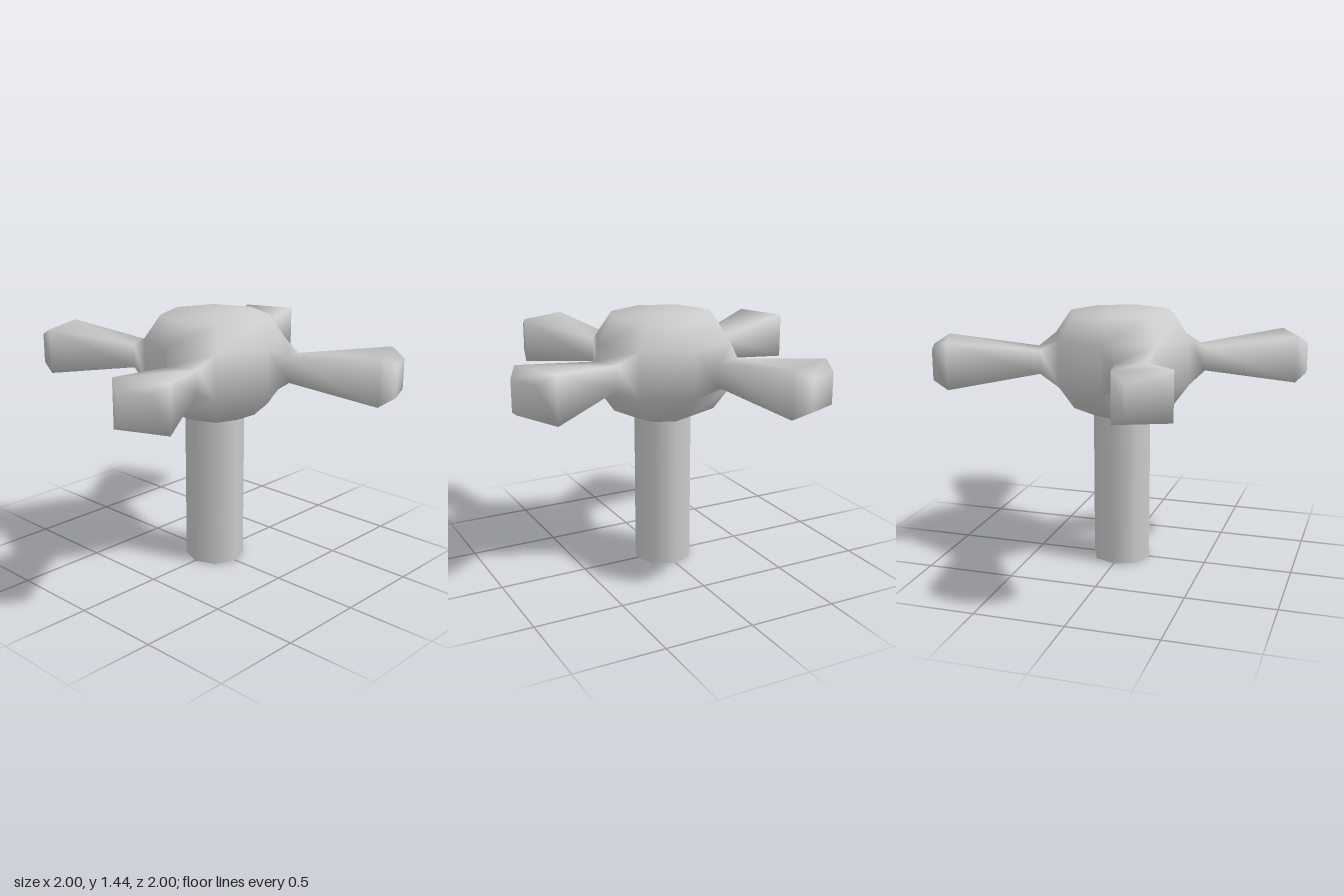
import * as THREE from 'three';

const SIDES = 8;
const STEM_RADIUS = 0.168;
const STEM_TOP = 0.865;
const ARM_Y = 1.18;

// Hub rings from bottom to top: [radius, y]
const HUB = [[STEM_RADIUS, STEM_TOP], [0.3, 0.925], [0.39, 1.05], [0.39, 1.31], [0.3, 1.44]];
const ARM_BAND = 2; // the band of hub faces the arms grow from

// Arm sections from neck to tip: [distance from axis, half width, half height]
const ARM = [[0.461, 0.08, 0.065], [0.962, 0.15, 0.13], [1.043, 0.09, 0.085]];

export function createModel() {
  const group = new THREE.Group();
  const material = new THREE.MeshStandardMaterial({ color: 0xcccccc });

  const positions = [];
  const parts = { hub: [] };
  const vertex = (x, y, z) => positions.push(x, y, z) / 3 - 1;
  const quad = (list, a, b, c, d) => list.push(a, b, c, a, c, d);

  // Hub rings
  const rings = HUB.map(([r, y]) => Array.from({ length: SIDES }, (_, i) => {
    const a = (i / SIDES) * Math.PI * 2;
    return vertex(r * Math.sin(a), y, r * Math.cos(a));
  }));
  const topCentre = vertex(0, HUB.at(-1)[1], 0);

  for (let i = 0; i < SIDES; i++) {
    const j = (i + 1) % SIDES;
    for (let k = 0; k < HUB.length - 1; k++) {
      const face = [rings[k][i], rings[k][j], rings[k + 1][j], rings[k + 1][i]];
      if (k === ARM_BAND && i % 2 === 0) addArm(i, face);
      else quad(parts.hub, ...face);
    }
    parts.hub.push(topCentre, rings.at(-1)[i], rings.at(-1)[j]);
  }

  // Arm pulled out of one hub face: flared root, narrow neck, bevelled square end
  function addArm(i, face) {
    const list = (parts['arm' + (i / 2 + 1)] = []);
    const a = ((i + 0.5) / SIDES) * Math.PI * 2;
    const s = Math.sin(a), c = Math.cos(a);
    let previous = face;
    for (const [u, w, h] of ARM) {
      const section = [[-w, -h], [w, -h], [w, h], [-w, h]].map(([v, y]) =>
        vertex(u * s + v * c, ARM_Y + y, u * c - v * s));
      for (let k = 0; k < 4; k++) {
        const n = (k + 1) % 4;
        quad(list, previous[k], previous[n], section[n], section[k]);
      }
      previous = section;
    }
    quad(list, ...previous);
  }

  // Smooth normals run across hub and arms, then the parts are split
  const whole = new THREE.BufferGeometry();
  whole.setAttribute('position', new THREE.Float32BufferAttribute(positions, 3));
  whole.setIndex(Object.values(parts).flat());
  whole.computeVertexNormals();
  for (const [name, index] of Object.entries(parts)) {
    whole.setIndex(index);
    const mesh = new THREE.Mesh(whole.toNonIndexed(), material);
    mesh.name = name;
    group.add(mesh);
  }

  // Stem
  const stem = new THREE.Mesh(
    new THREE.CylinderGeometry(STEM_RADIUS, STEM_RADIUS, STEM_TOP, SIDES), material);
  stem.position.y = STEM_TOP / 2;
  stem.name = 'stem';
  group.add(stem);

  return group;
}
